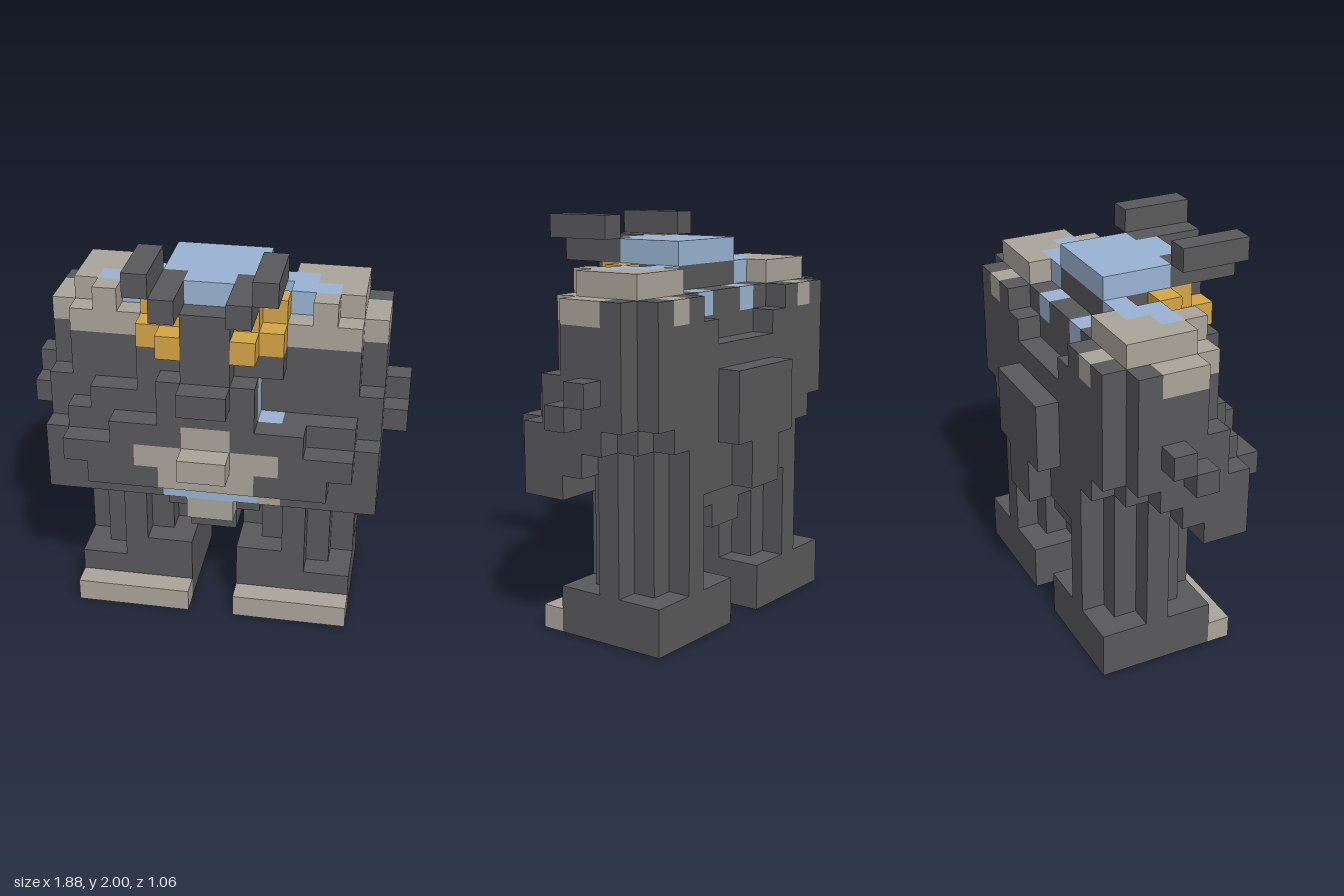
import * as THREE from 'three';

const U = 2 / 17; // edge length of one block
const mat = (name, color) => Object.assign(new THREE.MeshStandardMaterial({ color }), { name });

export function createModel() {
  const charcoal = mat('charcoal', 0x59595b);
  const stone = mat('stone', 0xaba59a);
  const blue = mat('dusty blue', 0x9ab4d3);
  const gold = mat('gold', 0xd5a546);

  const cells = new Map();   // block position -> part name
  const parts = new Map();   // part name -> material
  const key = (x, y, z) => `${x},${y},${z}`;

  // Fill a block range [from, to) with a part; later parts replace earlier ones.
  const fill = (part, material, x0, x1, y0, y1, z0, z1) => {
    parts.set(part, material);
    for (let x = x0; x < x1; x++)
      for (let y = y0; y < y1; y++)
        for (let z = z0; z < z1; z++) cells.set(key(x, y, z), part);
  };
  // Centred range, and mirrored pair of ranges.
  const mid = (part, m, half, ...r) => fill(part, m, -half, half, ...r);
  const pair = (part, m, x0, x1, ...r) => {
    fill(part + 'Left', m, x0, x1, ...r);
    fill(part + 'Right', m, -x1, -x0, ...r);
  };

  // Feet, toes and diamond-section legs with an inner ankle block
  pair('foot', charcoal, 1, 6, 0, 2, 1, 6);
  pair('toe', stone, 1, 6, 0, 1, 6, 7);
  for (let i = 0; i < 3; i++) pair('leg', charcoal, 1 + i, 6 - i, 2, 7, 3 - i, 4 + i);
  pair('ankle', charcoal, 1, 3, 2, 3, 3, 6);

  // Torso
  mid('torso', charcoal, 1, 4, 7, 2, 6);
  mid('torso', charcoal, 2, 5, 7, 2, 6);
  mid('torso', charcoal, 3, 6, 7, 1, 3);
  mid('torso', charcoal, 5, 6, 9, 2, 6);
  mid('torso', charcoal, 6, 7, 9, 3, 6);
  mid('torso', charcoal, 6, 8, 9, 2, 3);
  mid('torso', charcoal, 6, 9, 13, 2, 6);
  mid('torso', charcoal, 4, 7, 9, 1, 2);
  mid('torso', charcoal, 5, 8, 9, 1, 2);
  mid('torso', charcoal, 6, 9, 12, 1, 2);
  mid('torso', charcoal, 7, 9, 13, 2, 5);
  mid('torso', charcoal, 7, 9, 11, 5, 6);
  mid('torso', charcoal, 3, 13, 14, 2, 6);
  pair('shoulderBack', charcoal, 2, 6, 12, 13, 1, 2);
  pair('shoulderBack', charcoal, 3, 6, 13, 14, 1, 2);
  pair('shoulderBack', charcoal, 6, 7, 13, 14, 2, 3);

  // Stepped hips
  pair('hip', charcoal, 6, 7, 7, 9, 4, 5);
  pair('hip', charcoal, 6, 7, 8, 9, 3, 4);

  // Raised back plate, narrower at the bottom
  mid('backPlate', charcoal, 2, 8, 11, 0, 1);
  mid('backPlate', charcoal, 1, 6, 8, 0, 1);

  // Stepped front skirt and muzzle plate
  mid('skirt', charcoal, 7, 6, 9, 5, 7);
  mid('skirt', charcoal, 6, 9, 10, 5, 7);
  mid('muzzle', charcoal, 5, 7, 8, 6, 8);
  mid('muzzle', charcoal, 6, 8, 9, 6, 8);
  mid('muzzle', charcoal, 4, 9, 10, 6, 8);
  mid('muzzle', charcoal, 2, 10, 12, 6, 8);
  mid('muzzle', charcoal, 3, 12, 13, 6, 7);
  mid('muzzle', charcoal, 1, 12, 15, 6, 8);
  mid('nose', charcoal, 1, 11, 12, 8, 9);

  // Blue recess on the left cheek, closed cheek on the right
  fill('cheekLeft', blue, 1, 2, 10, 12, 6, 7);
  fill('cheekLeft', blue, 2, 3, 9, 10, 6, 7);
  fill('cheekRight', charcoal, -5, -2, 10, 11, 6, 7);
  fill('cheekRight', charcoal, -3, -2, 11, 12, 6, 7);

  // Stone mouth, chin and blue lip
  mid('mouth', stone, 1, 9, 10, 7, 8);
  mid('mouth', stone, 3, 8, 9, 7, 8);
  mid('mouth', stone, 2, 7, 8, 7, 8);
  mid('mouth', stone, 1, 8, 9, 8, 9);
  mid('lip', blue, 2, 6, 7, 6, 7);
  fill('lipCorner', stone, 2, 3, 6, 7, 6, 7);
  mid('chin', stone, 1, 5, 6, 6, 7);

  // Side knobs
  pair('knob', charcoal, 7, 8, 10, 11, 3, 4);
  pair('knob', charcoal, 7, 8, 9, 10, 4, 5);

  // Stone shoulder pads with blue inlays
  pair('shoulder', stone, 3, 6, 13, 15, 2, 5);
  pair('shoulder', stone, 3, 6, 13, 14, 5, 6);
  pair('shoulder', stone, 4, 5, 14, 15, 5, 6);
  pair('shoulder', stone, 6, 7, 13, 14, 3, 5);
  pair('shoulder', stone, 4, 5, 13, 14, 1, 2);
  pair('inlay', blue, 3, 5, 14, 15, 4, 5);
  pair('inlay', blue, 2, 4, 14, 15, 3, 4);
  pair('backInlay', blue, 1, 2, 13, 14, 2, 3);

  // Head, blue crown and stepped horns
  mid('head', charcoal, 2, 13, 15, 3, 6);
  mid('crown', blue, 2, 15, 16, 3, 6);
  mid('crown', blue, 1, 15, 16, 6, 7);
  pair('horn', charcoal, 1, 2, 15, 16, 6, 9);
  pair('horn', charcoal, 2, 3, 16, 17, 6, 9);

  // Gold brow blocks
  pair('brow', gold, 1, 2, 13, 14, 6, 8);
  pair('brow', gold, 2, 3, 13, 14, 5, 7);
  pair('brow', gold, 1, 2, 14, 15, 6, 7);
  pair('brow', gold, 2, 3, 14, 15, 5, 6);

  // Gather the exposed block faces of each part
  const faces = new Map([...parts.keys()].map((p) => [p, { pos: [], nor: [] }]));
  for (const [k, part] of cells) {
    const c = k.split(',').map(Number);
    const { pos, nor } = faces.get(part);
    for (let a = 0; a < 3; a++) {
      for (const s of [-1, 1]) {
        const n = [0, 0, 0];
        n[a] = s;
        if (cells.has(key(c[0] + n[0], c[1] + n[1], c[2] + n[2]))) continue;
        const b = (a + 1) % 3, d = (a + 2) % 3;
        const quad = [[0, 0], [1, 0], [1, 1], [0, 1]].map(([u, v]) => {
          const p = [...c];
          p[a] += s > 0 ? 1 : 0;
          p[b] += u;
          p[d] += v;
          return [p[0] * U, p[1] * U, (p[2] - 4.5) * U];
        });
        const order = s > 0 ? [0, 1, 2, 0, 2, 3] : [0, 2, 1, 0, 3, 2];
        for (const i of order) {
          pos.push(...quad[i]);
          nor.push(...n);
        }
      }
    }
  }

  const model = new THREE.Group();
  model.name = 'blockCreature';
  for (const [part, { pos, nor }] of faces) {
    if (!pos.length) continue;
    const geo = new THREE.BufferGeometry();
    geo.setAttribute('position', new THREE.Float32BufferAttribute(pos, 3));
    geo.setAttribute('normal', new THREE.Float32BufferAttribute(nor, 3));
    const mesh = new THREE.Mesh(geo, parts.get(part));
    mesh.name = part;
    model.add(mesh);
  }
  return model;
}
